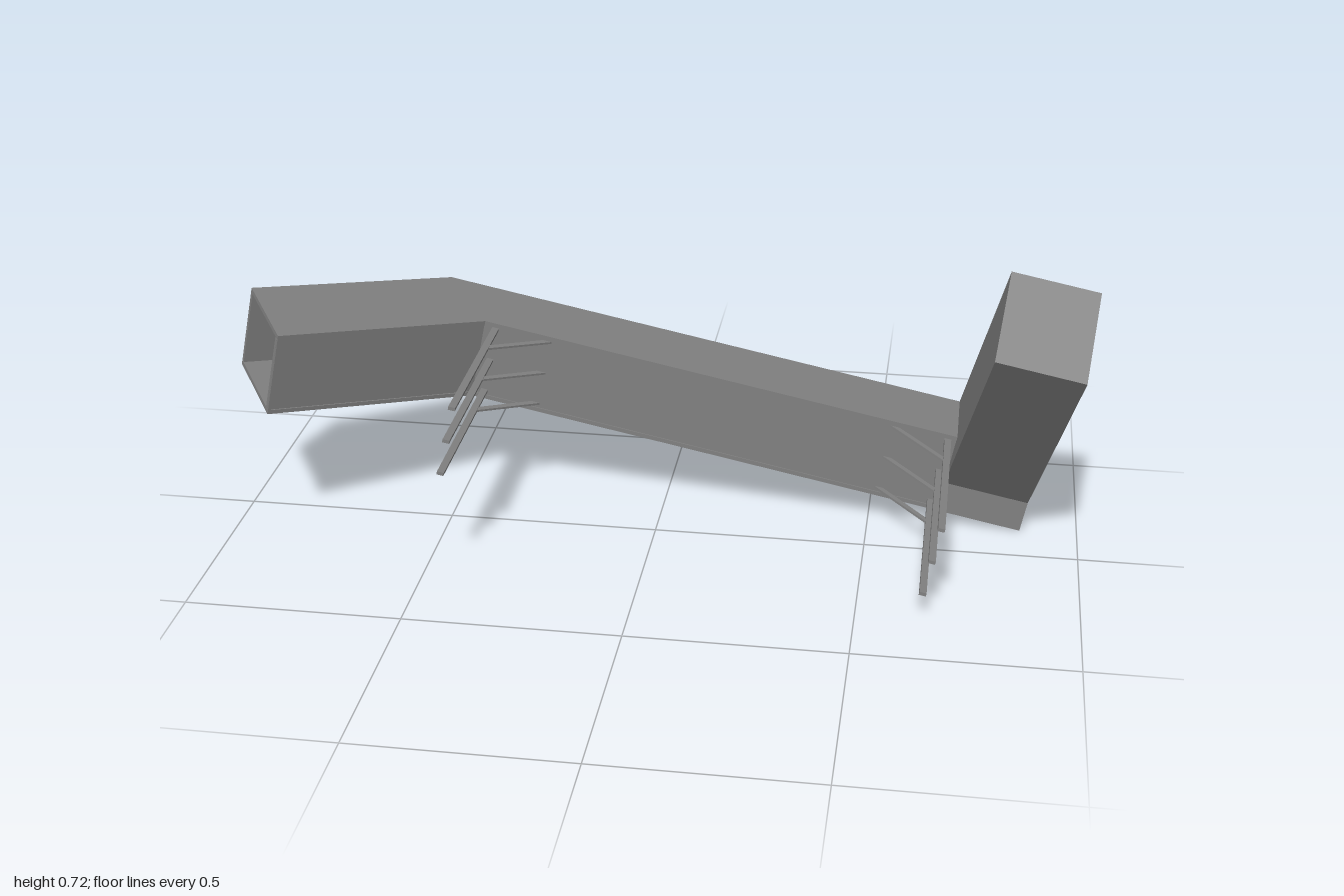
import * as THREE from 'three';

const material = new THREE.MeshStandardMaterial({ color: 0x808080, flatShading: true });

function add(parent, geometry, name) {
  const mesh = new THREE.Mesh(geometry, material);
  mesh.name = name;
  parent.add(mesh);
  return mesh;
}

const extrude = (points, depth) =>
  new THREE.ExtrudeGeometry(
    new THREE.Shape(points.map(([x, y]) => new THREE.Vector2(x, y))),
    { depth, bevelEnabled: false });

// Plan outline of [x, z] points raised from y0 to y1
const planSlab = (points, y0, y1) =>
  extrude(points.map(([x, z]) => [x, -z]), y1 - y0).rotateX(-Math.PI / 2).translate(0, y0, 0);

// Side outline of [z, y] points spread from x0 to x1
const sideSlab = (points, x0, x1) =>
  extrude(points.map(([z, y]) => [-z, y]), x1 - x0).rotateY(Math.PI / 2).translate(x0, 0, 0);

export function createModel() {
  const model = new THREE.Group();
  model.name = 'bentBeam';
  const frame = new THREE.Group();
  frame.name = 'tiltedFrame';
  frame.rotation.z = -Math.atan(0.2);
  model.add(frame);

  const bottom = 0.168, top = 0.37, lip = 0.01;
  const inner = 0.644, outer = 0.848;

  // Long hollow beam with a bent, open end: two plates joined by thin walls
  const beamPlan = [[inner, -0.328], [-0.645, -0.328], [-1.053, 0.005],
    [-0.922, 0.217], [-0.513, -0.125], [inner, -0.125]];
  add(frame, planSlab(beamPlan, bottom, bottom + lip), 'beamBottomPlate');
  add(frame, planSlab(beamPlan, top - lip, top), 'beamTopPlate');

  const walls = {
    beamBackWall: [[inner, -0.328], [-0.645, -0.328], [-1.053, 0.005],
      [-1.047, 0.013], [-0.641, -0.318], [inner, -0.318]],
    beamFrontWall: [[inner, -0.128], [-0.514, -0.128], [-0.924, 0.215],
      [-0.93, 0.207], [-0.518, -0.138], [inner, -0.138]],
    beamEndPost: [[-0.922, 0.217], [-0.916, 0.212], [-0.924, 0.203], [-0.93, 0.208]],
  };
  for (const [name, plan] of Object.entries(walls)) {
    add(frame, planSlab(plan, bottom + lip, top - lip), name);
  }

  // Raised arm leaning forward, closed at its end
  const armSide = [[-0.328, bottom], [-0.328, top], [0.012, 0.859],
    [0.216, 0.724], [-0.125, 0.245], [-0.125, bottom]];
  add(frame, sideSlab(armSide, inner, outer), 'raisedArm');

  // Two stacks of three forward rods, each with a diagonal brace
  for (const [x, side] of [[-0.486, 1], [0.624, -1]]) {
    for (const y of [0.354, 0.271, 0.188]) {
      const rod = add(frame, new THREE.BoxGeometry(0.016, 0.008, 0.468), 'rod');
      rod.position.set(x, y, 0.094);

      const dx = side * 0.135, dz = -0.12;
      const brace = add(frame,
        new THREE.BoxGeometry(0.014, 0.005, Math.hypot(dx, dz)), 'brace');
      brace.position.set(x + dx / 2, y, -0.014 + dz / 2);
      brace.rotation.y = Math.atan2(dx, dz);
    }
  }
  return model;
}
